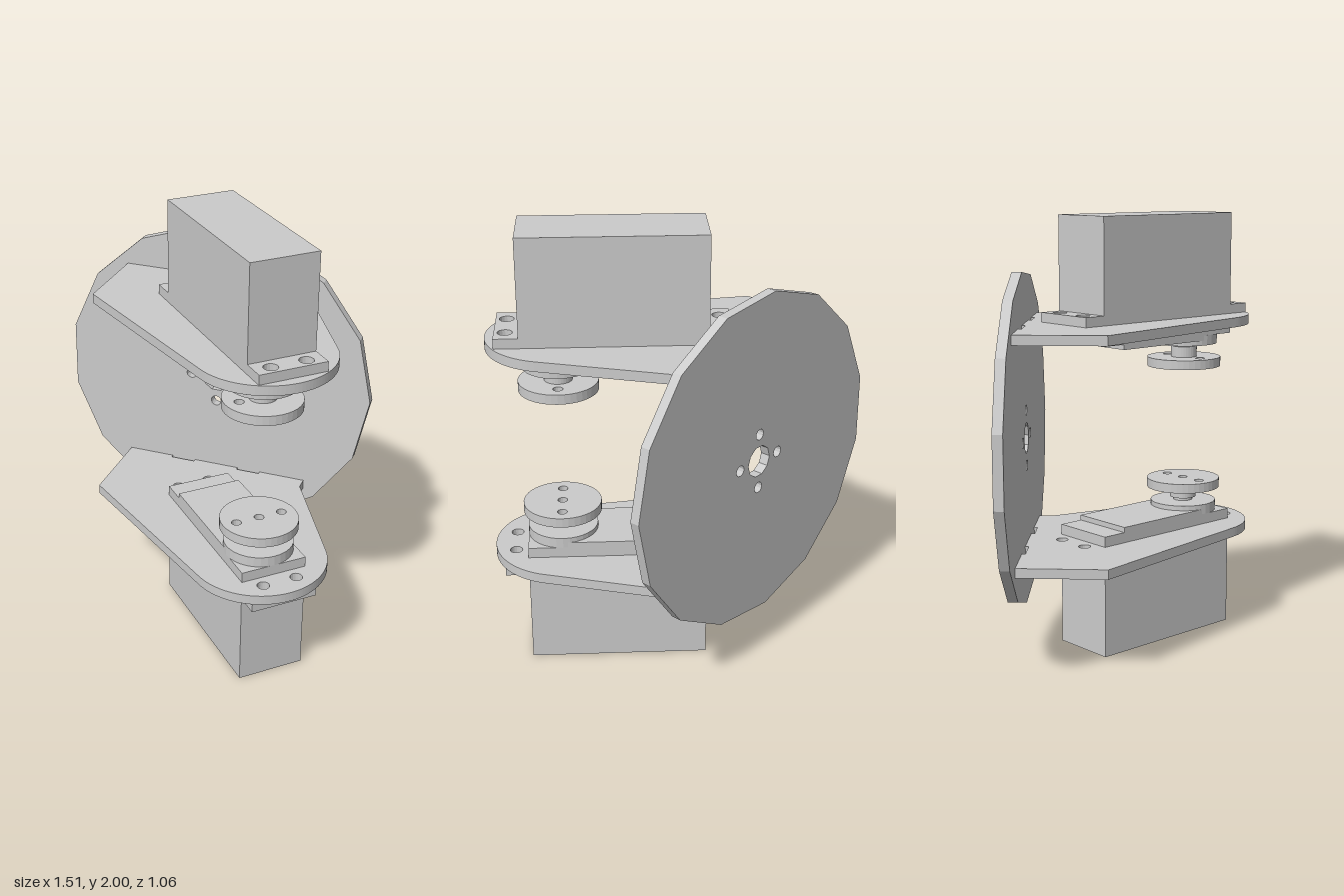
import * as THREE from 'three';

const material = new THREE.MeshStandardMaterial({ color: 0xcccccc, flatShading: true });

// Regular polygon path; the first vertex points along +x
function ring(cx, cy, r, sides, Type = THREE.Path) {
  const pts = [];
  for (let i = 0; i < sides; i++) {
    const a = (i / sides) * Math.PI * 2;
    pts.push(new THREE.Vector2(cx + r * Math.cos(a), cy + r * Math.sin(a)));
  }
  return new Type(pts);
}

function rect(x0, x1, y0, y1, Type = THREE.Shape) {
  return new Type([[x0, y0], [x1, y0], [x1, y1], [x0, y1]].map(p => new THREE.Vector2(...p)));
}

// Upright prism: the shape lies in x/z and spans heights ya to yb
function prism(name, shape, ya, yb) {
  const depth = Math.abs(yb - ya);
  const geo = new THREE.ExtrudeGeometry(shape, { depth, bevelEnabled: false, curveSegments: 24 });
  geo.rotateX(Math.PI / 2).translate(0, Math.max(ya, yb), 0);
  const mesh = new THREE.Mesh(geo, material);
  mesh.name = name;
  return mesh;
}

// Servo placement: centre in x/z, turned 45 degrees
const CX = 0.27, CZ = 0.0475, L = 0.3975, W = 0.155, S = Math.SQRT1_2;
const SCREWS = [[-0.455, -0.08], [-0.455, 0.08], [0.455, -0.08], [0.455, 0.08]];
const toPlate = (u, v) => [CX + S * (u - v), CZ + S * (u + v)];

// Bracket plate: round nose, straight flanks, notched rear edge, servo window
function bracketShape() {
  const s = new THREE.Shape();
  const ax = 0.44, az = 0.215, r = 0.31;
  s.moveTo(-0.47, -0.487);
  for (const [x0, x1] of [[-0.245, -0.125], [0.1, 0.215]]) {
    s.lineTo(x0, -0.487);
    s.lineTo(x0, -0.47);
    s.lineTo(x1, -0.47);
    s.lineTo(x1, -0.487);
  }
  s.lineTo(0.44, -0.487);
  s.lineTo(0.44, -0.425);
  s.absarc(ax, az, r, -0.5, 2.22, false);
  s.lineTo(-0.47, -0.085);
  s.closePath();
  const corners = [[-L, -W], [L, -W], [L, W], [-L, W]];
  s.holes.push(new THREE.Path(corners.map(c => new THREE.Vector2(...toPlate(...c)))));
  for (const h of SCREWS) s.holes.push(ring(...toPlate(...h), 0.028, 16));
  return s;
}

// One bracket with its servo; h maps heights so the upper one is mirrored
function mount(name, h) {
  const group = new THREE.Group();
  group.name = name;
  const add = (parent, part, shape, y0, y1) => parent.add(prism(part, shape, h(y0), h(y1)));
  add(group, 'bracketPlate', bracketShape(), 0.478, 0.522);

  const servo = new THREE.Group();
  servo.name = 'servo';
  servo.position.set(CX, 0, CZ);
  servo.rotation.y = -Math.PI / 4;
  group.add(servo);

  const flange = rect(-0.502, 0.502, -W, W);
  for (const [u, v] of SCREWS) flange.holes.push(ring(u, v, 0.032, 16));
  const axle = 0.242;
  const disc = (r, n = 32) => ring(axle, 0, r, n, THREE.Shape);
  const horn = disc(0.175, 40);
  for (const v of [-0.11, 0, 0.11]) horn.holes.push(ring(axle, v, 0.022, 16));

  add(servo, 'servoBody', rect(-L, L, -W, W), 0, 0.57);
  add(servo, 'mountingFlange', flange, 0.434, 0.478);
  add(servo, 'gearCover', rect(-0.28, axle, -W, W), 0.57, 0.594);
  add(servo, 'gearBoss', disc(0.157), 0.57, 0.617);
  add(servo, 'shaft', disc(0.045), 0.617, 0.632);
  add(servo, 'hornHub', disc(0.062), 0.632, 0.683);
  add(servo, 'horn', horn, 0.683, 0.727);
  return group;
}

export function createModel() {
  const model = new THREE.Group();
  model.name = 'twinServoMount';

  // Fifteen-sided back disc with a centre bore and four bolt holes
  const shape = ring(0, 0, 0.758, 15, THREE.Shape);
  shape.holes.push(ring(0, 0, 0.072, 10));
  for (let i = 0; i < 4; i++) {
    const a = (i * Math.PI) / 2;
    shape.holes.push(ring(0.127 * Math.cos(a), 0.127 * Math.sin(a), 0.025, 12));
  }
  const geo = new THREE.ExtrudeGeometry(shape, { depth: 0.045, bevelEnabled: false });
  const backDisc = new THREE.Mesh(geo, material);
  backDisc.name = 'backDisc';
  backDisc.position.set(-0.017, 1.003, -0.531);
  model.add(backDisc);

  model.add(mount('lowerMount', y => y), mount('upperMount', y => 2.003 - y * 1.0 - (y === 0 ? 0.003 : 0)));
  return model;
}
